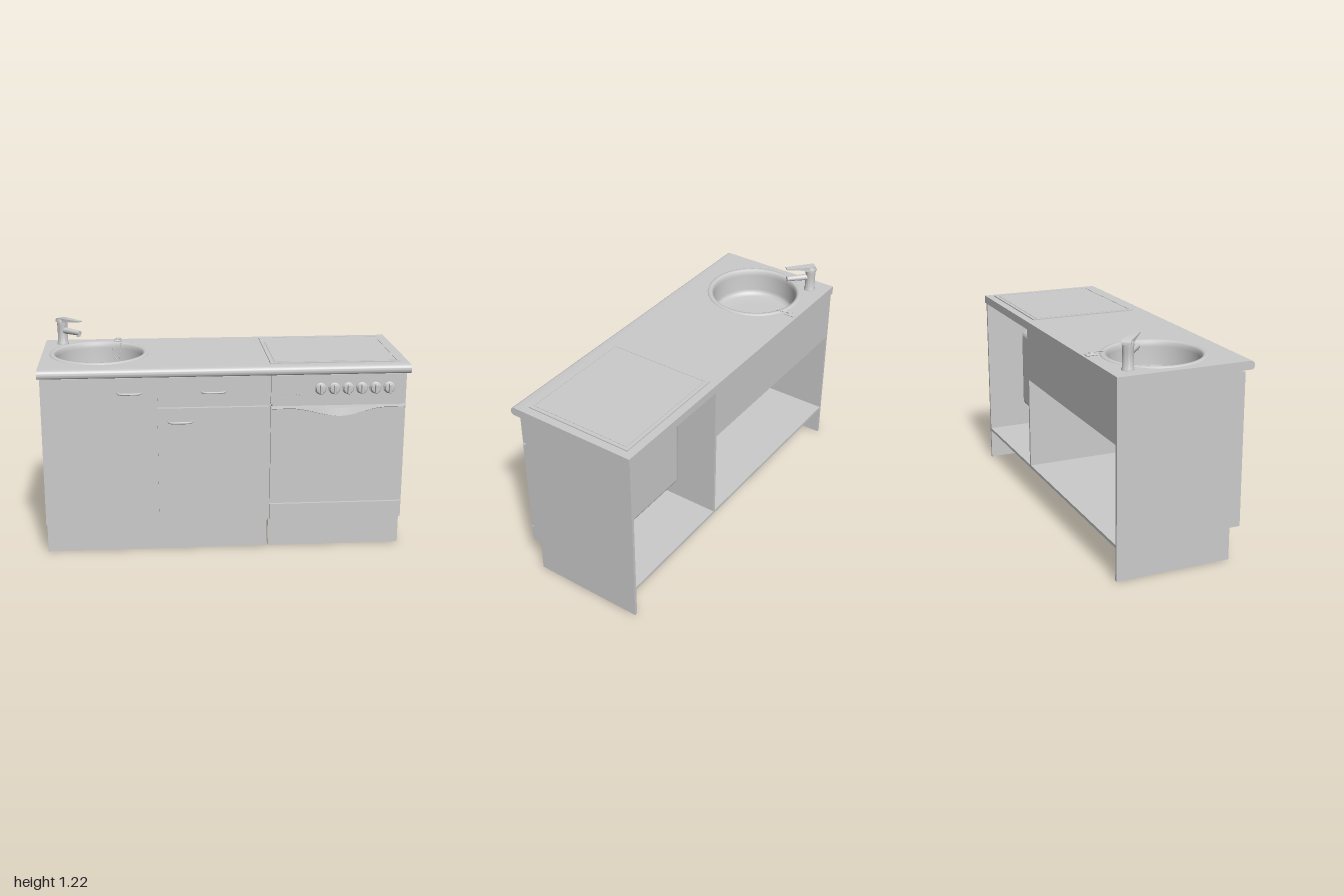
import * as THREE from 'three';
import { RoundedBoxGeometry } from 'three/addons/geometries/RoundedBoxGeometry.js';
import { toCreasedNormals } from 'three/addons/utils/BufferGeometryUtils.js';

const grey = new THREE.MeshStandardMaterial({ color: 0xcccccc });
const greyDouble = new THREE.MeshStandardMaterial({ color: 0xcccccc, side: THREE.DoubleSide });
const V = (x, y, z) => new THREE.Vector3(x, y, z);

export function createModel() {
  const root = new THREE.Group();
  root.name = 'kitchenUnit';

  const add = (name, geo, parent = root, mat = grey) => {
    const m = new THREE.Mesh(geo, mat);
    m.name = name;
    parent.add(m);
    return m;
  };
  // Box given by its limits on each axis
  const box = (name, x0, x1, y0, y1, z0, z1, parent = root) => {
    const m = add(name, new THREE.BoxGeometry(x1 - x0, y1 - y0, z1 - z0), parent);
    m.position.set((x0 + x1) / 2, (y0 + y1) / 2, (z0 + z1) / 2);
    return m;
  };
  const rectPath = (P, x0, x1, y0, y1) => {
    const p = new P();
    p.moveTo(x0, y0); p.lineTo(x1, y0); p.lineTo(x1, y1); p.lineTo(x0, y1); p.closePath();
    return p;
  };
  const tube = (name, pts, r, parent = root, n = 32) =>
    add(name, new THREE.TubeGeometry(new THREE.CatmullRomCurve3(pts, false, 'centripetal'), n, r, 8), parent);
  // Extrude a plan drawn as (x, -z) upwards from y0
  const slab = (name, shape, y0, h) => {
    const g = new THREE.ExtrudeGeometry(shape, { depth: h, bevelEnabled: false, curveSegments: 32 });
    g.rotateX(-Math.PI / 2);
    g.translate(0, y0, 0);
    return add(name, toCreasedNormals(g, 0.6));
  };

  const TOP = 1.066, UNDER = 1.02, BACK = -0.38, SX = -0.682, SZ = -0.035;

  // Side panels with the toe-kick notch
  const side = new THREE.Shape();
  [[BACK, 0], [0.26, 0], [0.26, 0.178], [0.3, 0.178], [0.3, UNDER], [BACK, UNDER]]
    .forEach(([z, y], i) => (i ? side.lineTo(-z, y) : side.moveTo(-z, y)));
  for (const s of [-1, 1]) {
    const g = new THREE.ExtrudeGeometry(side, { depth: 0.016, bevelEnabled: false });
    g.rotateY(Math.PI / 2);
    g.translate(s < 0 ? -0.99 : 0.974, 0, 0);
    add('sidePanel', g);
  }

  // Carcass
  box('floorPanel', -0.974, 0.974, 0.178, 0.195, BACK, 0.3);
  box('divider', 0.232, 0.248, 0.195, UNDER, BACK, 0.3);
  box('backRail', -0.974, 0.232, 0.72, UNDER, BACK, BACK + 0.016);
  box('frontRail', -0.974, 0.232, 0.96, UNDER, 0.284, 0.3);
  box('drawerRail', -0.36, 0.232, 0.825, 0.855, 0.284, 0.3);
  box('doorPost', -0.378, -0.362, 0.195, UNDER, 0.23, 0.3);
  box('plinth', -0.974, 0.235, 0, 0.178, 0.244, 0.26);
  box('plinth', 0.245, 0.974, 0, 0.178, 0.244, 0.26);

  // Worktop with a round cut-out and a rounded front nose
  const plan = rectPath(THREE.Shape, -1, 1, -0.3, 0.385);
  const cut = new THREE.Path();
  cut.absarc(SX, -SZ, 0.25, 0, Math.PI * 2, true);
  plan.holes.push(cut);
  slab('worktop', plan, UNDER, TOP - UNDER);
  const nose = new THREE.Shape();
  nose.moveTo(-0.3, UNDER);
  nose.lineTo(-0.3, TOP);
  nose.lineTo(-0.345, TOP);
  nose.bezierCurveTo(-0.372, TOP, -0.372, UNDER, -0.35, UNDER);
  nose.closePath();
  const noseGeo = new THREE.ExtrudeGeometry(nose, { depth: 2, bevelEnabled: false, curveSegments: 12 });
  noseGeo.rotateY(Math.PI / 2);
  noseGeo.translate(-1, 0, 0);
  add('worktopNose', toCreasedNormals(noseGeo, 0.6));

  // Cupboard fronts and their bow handles
  box('leftDoor', -0.99, -0.375, 0.178, 1.01, 0.3, 0.32);
  box('middleDoor', -0.367, 0.236, 0.178, 0.838, 0.3, 0.32);
  box('drawerFront', -0.367, 0.236, 0.845, 1.01, 0.3, 0.32);
  for (const [x, y] of [[-0.515, 0.93], [-0.065, 0.93], [-0.245, 0.765]])
    tube('bowHandle', [V(x - 0.062, y, 0.318), V(x - 0.06, y, 0.342), V(x - 0.045, y, 0.354),
      V(x, y, 0.357), V(x + 0.045, y, 0.354), V(x + 0.06, y, 0.342), V(x + 0.062, y, 0.318)], 0.006);

  // Oven
  const oven = new THREE.Group();
  oven.name = 'oven';
  root.add(oven);
  const body = add('ovenBody', new RoundedBoxGeometry(0.64, 0.49, 0.48, 4, 0.035), oven);
  body.position.set(0.61, 0.595, 0.061);
  box('controlPanel', 0.247, 0.985, 0.848, 1.01, 0.3, 0.32, oven);
  box('ventStrip', 0.255, 0.977, 0.83, 0.848, 0.295, 0.312, oven);
  box('ovenDoor', 0.247, 0.985, 0.278, 0.836, 0.3, 0.32, oven);
  box('ovenDrawer', 0.247, 0.985, 0.178, 0.272, 0.3, 0.32, oven);

  // Door handle: cross-sections along x that swell towards the middle
  const pos = [], idx = [], N = 40;
  for (let i = 0; i <= N; i++) {
    const t = i / N, x = 0.252 + t * 0.728;
    const u = Math.max(0, 1 - Math.abs(t - 0.5) / 0.36), b = u * u * (3 - 2 * u);
    for (const [z, y] of [[0.319, 0.836], [0.326 + 0.042 * b, 0.836], [0.328 + 0.05 * b, 0.826 - 0.032 * b],
      [0.325 + 0.04 * b, 0.823 - 0.033 * b], [0.319, 0.822 - 0.02 * b]]) pos.push(x, y, z);
    if (i < N) for (let k = 0; k < 5; k++) {
      const a = i * 5 + k, c = i * 5 + (k + 1) % 5;
      idx.push(a, c, a + 5, c, c + 5, a + 5);
    }
  }
  for (let k = 1; k < 4; k++) idx.push(0, k + 1, k, N * 5, N * 5 + k, N * 5 + k + 1);
  const lip = new THREE.BufferGeometry();
  lip.setAttribute('position', new THREE.Float32BufferAttribute(pos, 3));
  lip.setIndex(idx);
  add('ovenHandle', toCreasedNormals(lip, 0.5), oven, greyDouble);

  // Control knobs
  for (let i = 0; i < 6; i++) {
    const knob = new THREE.Group();
    knob.name = 'controlKnob';
    knob.position.set(0.515 + i * 0.075, 0.934, 0.32);
    oven.add(knob);
    const prof = [[0, 0], [0.032, 0], [0.032, 0.007], [0.027, 0.012], [0.024, 0.024], [0, 0.028]];
    const g = new THREE.LatheGeometry(prof.map(p => new THREE.Vector2(...p)), 28);
    g.rotateX(Math.PI / 2);
    add('knobBase', toCreasedNormals(g, 0.6), knob);
    add('knobGrip', new RoundedBoxGeometry(0.014, 0.052, 0.036, 2, 0.005), knob).position.z = 0.025;
  }
  // Small buttons and the pilot light
  for (let i = 0; i < 5; i++) {
    const r = i === 4 ? 0.009 : 0.005;
    const m = add('button', new THREE.CylinderGeometry(r, r, 0.008, 14).rotateX(Math.PI / 2), oven);
    m.position.set(0.33 + i * 0.02, 0.902 - (i === 4 ? 0.003 : 0), 0.322);
  }

  // Hob plate with a slim raised frame
  box('hobPlate', 0.245, 0.955, TOP - 0.002, 1.07, -0.34, 0.285);
  const frame = rectPath(THREE.Shape, 0.245, 0.955, -0.285, 0.34);
  frame.holes.push(rectPath(THREE.Path, 0.262, 0.938, -0.268, 0.323));
  slab('hobFrame', frame, 1.069, 0.003);
  box('hobLid', 0.268, 0.932, 1.069, 1.072, -0.317, 0.262);

  // Sink: rim, bowl, and floor in one turned profile
  const bowl = [[0.276, TOP], [0.274, 1.071], [0.264, 1.074], [0.252, 1.072], [0.244, 1.062], [0.241, 1.04],
    [0.238, 0.945], [0.23, 0.922], [0.21, 0.912], [0.12, 0.909], [0, 0.908]];
  const sinkGeo = new THREE.LatheGeometry(bowl.reverse().map(p => new THREE.Vector2(...p)), 64);
  add('sinkBowl', sinkGeo, root, greyDouble).position.set(SX, 0, SZ);
  const drain = add('drainRing', new THREE.TorusGeometry(0.03, 0.005, 8, 28).rotateX(Math.PI / 2));
  drain.position.set(SX, 0.911, -0.155);
  const outlet = add('drainOutlet', new THREE.CylinderGeometry(0.024, 0.024, 0.02, 24));
  outlet.position.set(SX, 0.903, -0.155);

  // Mixer tap, built along +x and turned towards the bowl
  const tap = new THREE.Group();
  tap.name = 'mixerTap';
  tap.position.set(-0.898, TOP, -0.282);
  tap.rotation.y = -0.76;
  root.add(tap);
  const tapProf = [[0, 0], [0.033, 0], [0.033, 0.006], [0.029, 0.012], [0.028, 0.09], [0.03, 0.12],
    [0.03, 0.138], [0.024, 0.148], [0, 0.15]];
  add('tapBody', toCreasedNormals(new THREE.LatheGeometry(tapProf.map(p => new THREE.Vector2(...p)), 28), 0.7), tap);
  const spout = add('spout', new THREE.CylinderGeometry(0.014, 0.019, 0.13, 20).rotateZ(-Math.PI / 2), tap);
  spout.position.set(0.078, 0.082, 0);
  const aerator = add('aerator', new THREE.CylinderGeometry(0.013, 0.012, 0.024, 20), tap);
  aerator.position.set(0.132, 0.074, 0);
  // Flat lever, tapering towards its tip
  const lever = new THREE.Shape();
  lever.moveTo(-0.03, 0.128);
  lever.lineTo(0.03, 0.128);
  lever.quadraticCurveTo(0.06, 0.141, 0.15, 0.147);
  lever.lineTo(0.15, 0.153);
  lever.lineTo(-0.015, 0.153);
  lever.quadraticCurveTo(-0.03, 0.15, -0.03, 0.128);
  const leverGeo = new THREE.ExtrudeGeometry(lever, { depth: 0.05, bevelEnabled: false, curveSegments: 8 });
  leverGeo.translate(0, 0, -0.025);
  const lp = leverGeo.attributes.position;
  for (let i = 0; i < lp.count; i++)
    lp.setZ(i, lp.getZ(i) * (1 - 0.45 * Math.max(0, lp.getX(i)) / 0.15));
  add('lever', toCreasedNormals(leverGeo, 0.6), tap);

  // Plug holder with its hanging chain
  const holder = new THREE.Group();
  holder.name = 'plugHolder';
  root.add(holder);
  const plate = add('holderPlate', new RoundedBoxGeometry(0.044, 0.008, 0.06, 3, 0.004), holder);
  plate.position.set(-0.58, TOP + 0.004, -0.34);
  const plug = add('plug', new THREE.CylinderGeometry(0.014, 0.018, 0.012, 20), holder);
  plug.position.set(-0.58, TOP + 0.012, -0.335);
  tube('plugChain', [V(-0.58, 1.077, -0.325), V(-0.565, 1.079, -0.295), V(-0.565, 1.07, -0.255),
    V(-0.57, 1.01, -0.24), V(-0.585, 0.975, -0.238), V(-0.605, 1, -0.245), V(-0.61, 1.04, -0.25)], 0.003, holder, 48);

  return root;
}
